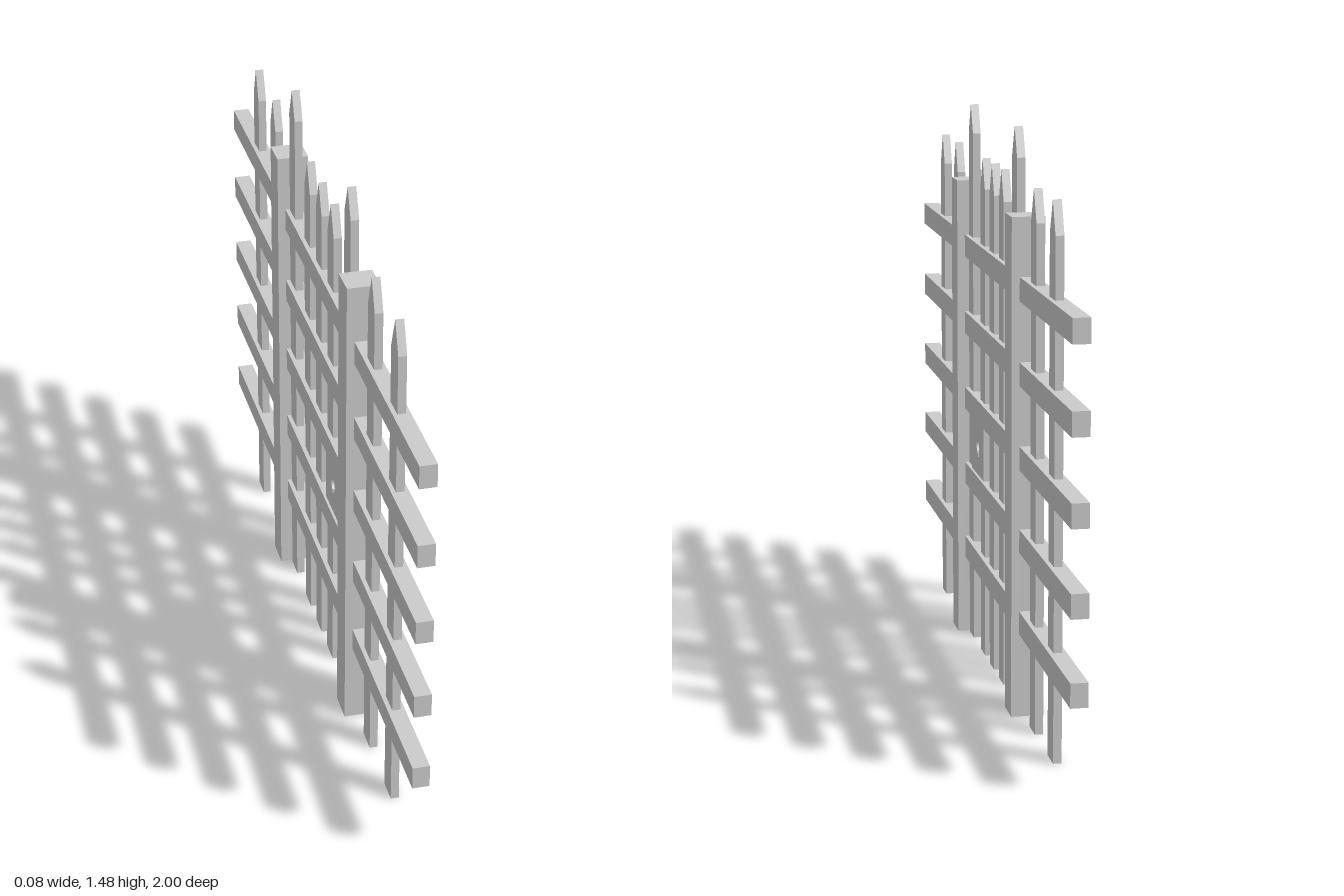
import * as THREE from 'three';

export function createModel() {
  const gate = new THREE.Group();
  gate.name = 'picketGate';
  const material = new THREE.MeshStandardMaterial({ color: 0xcccccc });

  const add = (name, geometry, x = 0, y = 0, z = 0) => {
    const mesh = new THREE.Mesh(geometry, material);
    mesh.name = name;
    mesh.position.set(x, y, z);
    gate.add(mesh);
    return mesh;
  };

  // Extrudes a (z, y) outline into a board centred on x = 0
  const board = (shape, thickness) => {
    const geometry = new THREE.ExtrudeGeometry(shape, { depth: thickness, bevelEnabled: false, curveSegments: 10 });
    geometry.translate(0, 0, -thickness / 2);
    geometry.rotateY(-Math.PI / 2); // outline x becomes z
    return geometry;
  };

  // Pointed pickets
  const picket = (z, shoulder, tip) => {
    const w = 0.031;
    const outline = [[-w, 0], [w, 0], [w, shoulder], [0, tip], [-w, shoulder]];
    const shape = new THREE.Shape(outline.map(([a, b]) => new THREE.Vector2(a, b)));
    add('picket', board(shape, 0.021), 0, 0, z);
  };
  picket(0, 1.27, 1.35);
  for (const side of [-1, 1]) {
    for (const z of [0.127, 0.528, 0.739]) picket(side * z, 1.27, 1.35);
    picket(side * 0.296, 1.4, 1.475);

    // Square posts either side of the gate leaf
    add('post', new THREE.BoxGeometry(0.083, 1.267, 0.082), 0, 1.267 / 2, side * 0.375);
  }

  // Five rows of rails: one across the gate, one on each fence wing
  for (let row = 0; row < 5; row++) {
    const y = 0.245 + row * 0.2112;
    add('gateRail', new THREE.BoxGeometry(0.043, 0.06, 0.662), 0, y, 0);
    for (const side of [-1, 1]) {
      add('fenceRail', new THREE.BoxGeometry(0.043, 0.06, 0.584), 0, y, side * 0.708);
    }
  }

  // Lock plate with a keyhole cut through
  const plate = new THREE.Shape();
  plate.moveTo(0.097, 0.47).lineTo(0.268, 0.47).lineTo(0.268, 0.65).lineTo(0.097, 0.65).closePath();
  const keyhole = new THREE.Path();
  keyhole.moveTo(0.185, 0.535);
  keyhole.absarc(0.177, 0.566, 0.018, -Math.PI * 0.35, Math.PI * 1.35, false);
  keyhole.lineTo(0.169, 0.535);
  keyhole.closePath();
  plate.holes.push(keyhole);
  add('lockPlate', board(plate, 0.03));

  return gate;
}
